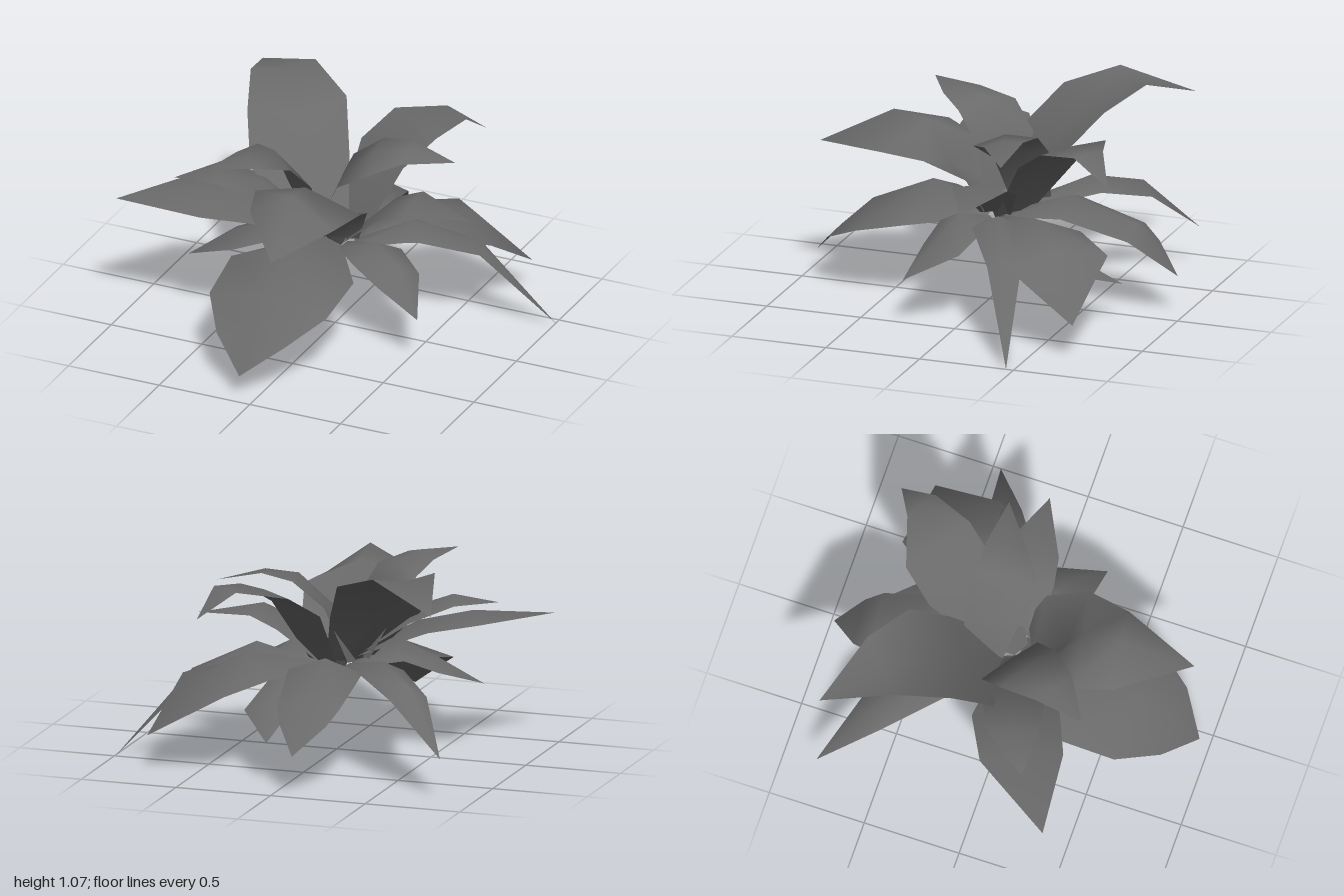
import * as THREE from 'three';

const material = new THREE.MeshStandardMaterial({ color: 0x6a6a6a, side: THREE.DoubleSide });

// One leaf: spine points [x, y, z, halfWidth, drop, pull] from root to tip.
// drop lowers both edges, pull draws them back towards the root (cupping),
// roll tilts the blade sideways.
function leaf(name, spine, roll = 0) {
  const n = spine.length - 1;
  const [rx, , rz] = spine[0];
  const tip = spine[n];
  const len = Math.hypot(tip[0] - rx, tip[2] - rz);
  const dx = (tip[0] - rx) / len;
  const dz = (tip[2] - rz) / len;
  const positions = [];
  const index = [];
  for (let i = 0; i < n; i++) {
    const [x, y, z, w, drop, pull = 0] = spine[i];
    for (const k of [-1, 0, 1]) {
      const edge = Math.abs(k);
      positions.push(
        x - dz * w * k - dx * pull * edge,
        y - drop * edge - roll * w * k,
        z + dx * w * k - dz * pull * edge);
    }
  }
  positions.push(...tip);
  for (let i = 0; i < n; i++) {
    for (let k = 0; k < 2; k++) {
      const a = i * 3 + k;
      if (i === n - 1) index.push(a, a + 1, n * 3);
      else index.push(a, a + 1, a + 3, a + 1, a + 4, a + 3);
    }
  }
  const geometry = new THREE.BufferGeometry();
  geometry.setAttribute('position', new THREE.Float32BufferAttribute(positions, 3));
  geometry.setIndex(index);
  geometry.computeVertexNormals();
  const mesh = new THREE.Mesh(geometry, material);
  mesh.name = name;
  return mesh;
}

export function createModel() {
  const plant = new THREE.Group();
  plant.name = 'plant';

  // Lower ring: broad drooping leaves
  const lower = new THREE.Group();
  lower.name = 'lowerLeaves';
  lower.add(
    leaf('frontLowerLeaf', [
      [-0.06, 0.47, 0, 0.1, 0.03], [-0.08, 0.57, 0.33, 0.34, 0.14],
      [-0.08, 0.43, 0.65, 0.325, 0.07, 0.03], [-0.08, 0.27, 0.82, 0.19, 0.01], [-0.08, 0.12, 0.955]]),
    leaf('backLowerLeaf', [
      [-0.03, 0.47, -0.1, 0.06, 0.02], [-0.08, 0.57, -0.4, 0.19, 0.07],
      [-0.11, 0.45, -0.74, 0.16, 0.05], [-0.11, 0.36, -0.83, 0.12, 0.03], [-0.1, 0.2, -0.965]]),
    leaf('backRightLowerLeaf', [
      [-0.1, 0.47, -0.08, 0.06, 0.02], [-0.38, 0.58, -0.4, 0.12, 0.06],
      [-0.59, 0.51, -0.6, 0.1, 0.06], [-0.83, 0.21, -0.81]]),
    leaf('backLeftBroadLeaf', [
      [0.06, 0.47, -0.1, 0.08, 0.02], [0.33, 0.57, -0.36, 0.25, 0.1],
      [0.51, 0.48, -0.55, 0.27, 0.06], [0.75, 0.18, -0.72]]),
    leaf('leftLongLeaf', [
      [0.08, 0.46, -0.06, 0.06, 0.02], [0.36, 0.57, -0.18, 0.13, 0.06],
      [0.65, 0.44, -0.32, 0.085, 0.03], [1, 0, -0.46]]),
    leaf('frontLeftLowerLeaf', [
      [0.06, 0.46, -0.02, 0.06, 0.02], [0.26, 0.53, 0.06, 0.15, 0.08],
      [0.4, 0.45, 0.11, 0.13, 0.08], [0.57, 0.25, 0.25]]),
    leaf('rightLowerLeaf', [
      [-0.08, 0.46, 0, 0.06, 0.02], [-0.3, 0.55, 0.08, 0.14, 0.05],
      [-0.49, 0.48, 0.14, 0.13, 0.05], [-0.7, 0.34, 0.23]]),
    leaf('backSmallLeaf', [
      [0.03, 0.47, -0.1, 0.05, 0.01], [0.14, 0.45, -0.28, 0.11, 0.03],
      [0.2, 0.33, -0.5, 0.12, 0.04], [0.11, 0.2, -0.75]]));

  // Middle ring: nearly level leaves
  const middle = new THREE.Group();
  middle.name = 'middleLeaves';
  middle.add(
    leaf('rightLongLeaf', [
      [-0.08, 0.5, 0, 0.08, 0.01], [-0.42, 0.68, 0.1, 0.22, 0.04],
      [-0.65, 0.72, 0.21, 0.21, 0.05], [-1, 0.68, 0.44]], -0.1),
    leaf('rightMiddleLeaf', [
      [-0.08, 0.5, 0, 0.07, 0.01], [-0.36, 0.74, 0.07, 0.16, 0.04],
      [-0.57, 0.81, 0.14, 0.13, 0.03], [-0.77, 0.76, 0.25]]),
    leaf('leftMiddleLeaf', [
      [0.05, 0.48, -0.05, 0.08, 0.01], [0.25, 0.67, -0.08, 0.15, 0.02],
      [0.39, 0.73, -0.09, 0.14, 0.02], [0.7, 0.67, -0.1]]));

  // Upper leaves: rising from the heart, then arching over
  const upper = new THREE.Group();
  upper.name = 'upperLeaves';
  upper.add(
    leaf('frontUpperLeaf', [
      [-0.04, 0.5, 0.06, 0.17, 0, 0.06], [-0.02, 0.7, 0.23, 0.24, 0, 0.15],
      [-0.01, 0.9, 0.32, 0.275, 0.1, 0.03], [0, 0.94, 0.51, 0.22, 0.14], [0.06, 0.75, 0.88]], -0.09),
    leaf('backRightTallLeaf', [
      [-0.1, 0.48, -0.08, 0.13, -0.02], [-0.28, 0.72, -0.18, 0.26, -0.05],
      [-0.38, 0.93, -0.36, 0.26, -0.05], [-0.55, 1.04, -0.56, 0.17, -0.03], [-0.78, 0.94, -0.81]]),
    leaf('backLeftTallLeaf', [
      [0.02, 0.48, -0.14, 0.12, 0], [0.09, 0.79, -0.36, 0.2, -0.01],
      [0.2, 0.93, -0.52, 0.2, 0.01], [0.36, 0.96, -0.66, 0.09, 0.01], [0.46, 0.82, -0.8]]),
    leaf('leftUpperLeaf', [
      [-0.14, 0.5, -0.17, 0.1, 0], [-0.02, 0.78, -0.16, 0.14, 0.01],
      [0.15, 0.93, -0.14, 0.165, 0.04], [0.31, 0.95, -0.19, 0.1, 0.02], [0.54, 0.89, -0.26]], 0.2),
    leaf('frontRightUpperLeaf', [
      [-0.12, 0.5, -0.02, 0.1, 0], [-0.22, 0.8, 0, 0.17, 0.02],
      [-0.28, 0.96, 0.12, 0.17, 0.04], [-0.35, 0.99, 0.28, 0.11, 0.03], [-0.48, 0.97, 0.47]]));

  // Short stub where the leaves meet
  const stem = new THREE.Mesh(new THREE.CylinderGeometry(0.09, 0.03, 0.12, 6), material);
  stem.name = 'stem';
  stem.position.set(-0.02, 0.47, -0.06);

  plant.add(lower, middle, upper, stem);
  return plant;
}
